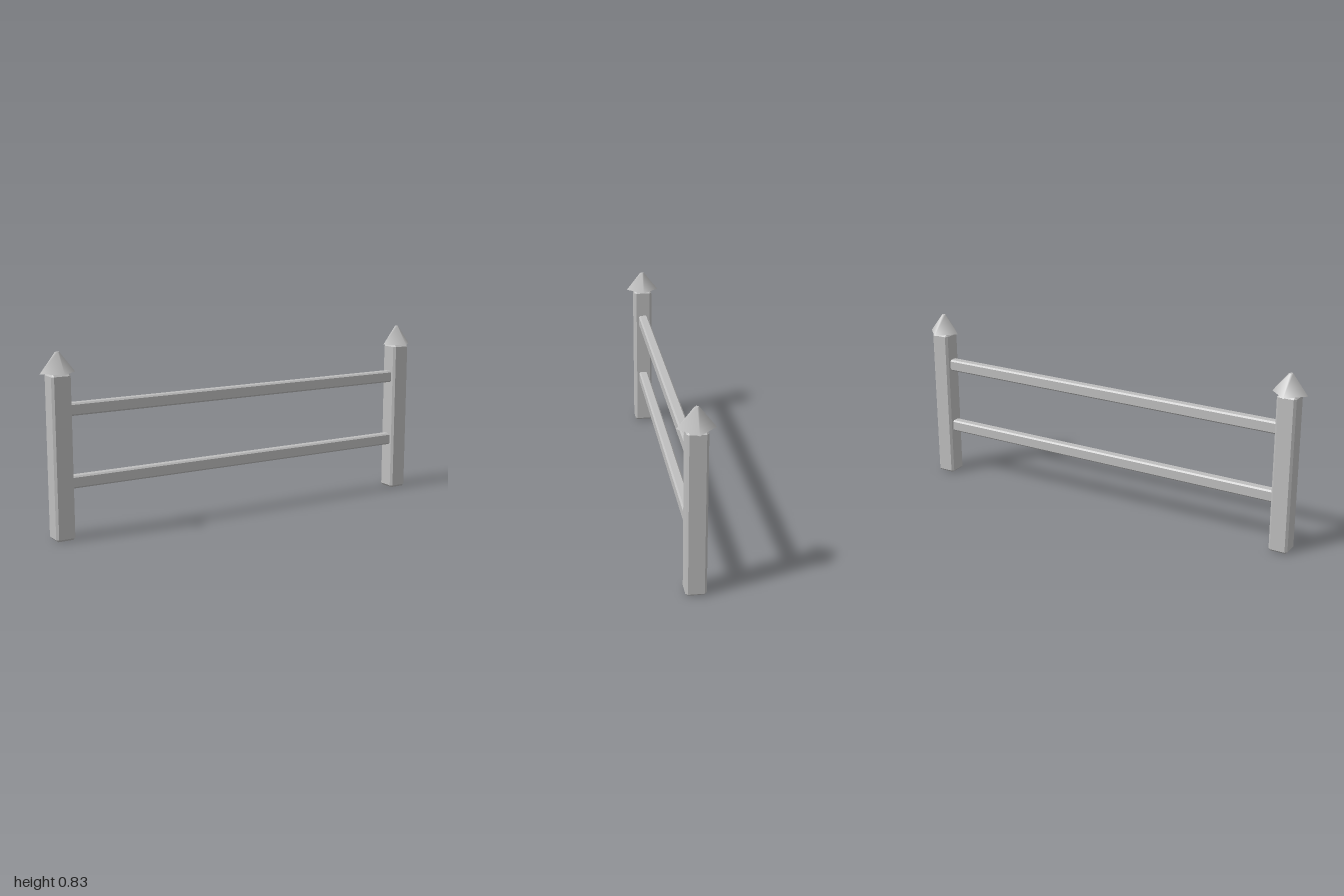
import * as THREE from 'three';
import { ConvexGeometry } from 'three/addons/geometries/ConvexGeometry.js';

// Box with every edge cut by a flat chamfer
function chamferBox(w, h, d, c) {
  const points = [];
  const half = [w / 2, h / 2, d / 2];
  for (const sx of [-1, 1]) for (const sy of [-1, 1]) for (const sz of [-1, 1]) {
    for (let full = 0; full < 3; full++) {
      const [x, y, z] = half.map((v, i) => (i === full ? v : v - c));
      points.push(new THREE.Vector3(sx * x, sy * y, sz * z));
    }
  }
  return new ConvexGeometry(points);
}

export function createModel() {
  const group = new THREE.Group();
  const grey = new THREE.MeshStandardMaterial({ color: 0xbfbfbf });
  grey.name = 'grey';

  const add = (name, geometry, x, y) => {
    const mesh = new THREE.Mesh(geometry, grey);
    mesh.name = name;
    mesh.position.set(x, y, 0);
    group.add(mesh);
  };

  // Posts with four-sided caps turned corner-forward
  const post = chamferBox(0.09, 0.736, 0.09, 0.01);
  const cap = new THREE.CylinderGeometry(0.01, 0.081, 0.09, 4);
  for (const [side, s] of [['left', 1], ['right', -1]]) {
    add(side + 'Post', post, s * 0.919, 0.368);
    add(side + 'Cap', cap, s * 0.919, 0.782);
  }

  // Rails running between the posts
  const rail = chamferBox(1.8, 0.056, 0.046, 0.007);
  add('lowerRail', rail, 0, 0.253);
  add('upperRail', rail, 0, 0.575);

  return group;
}
